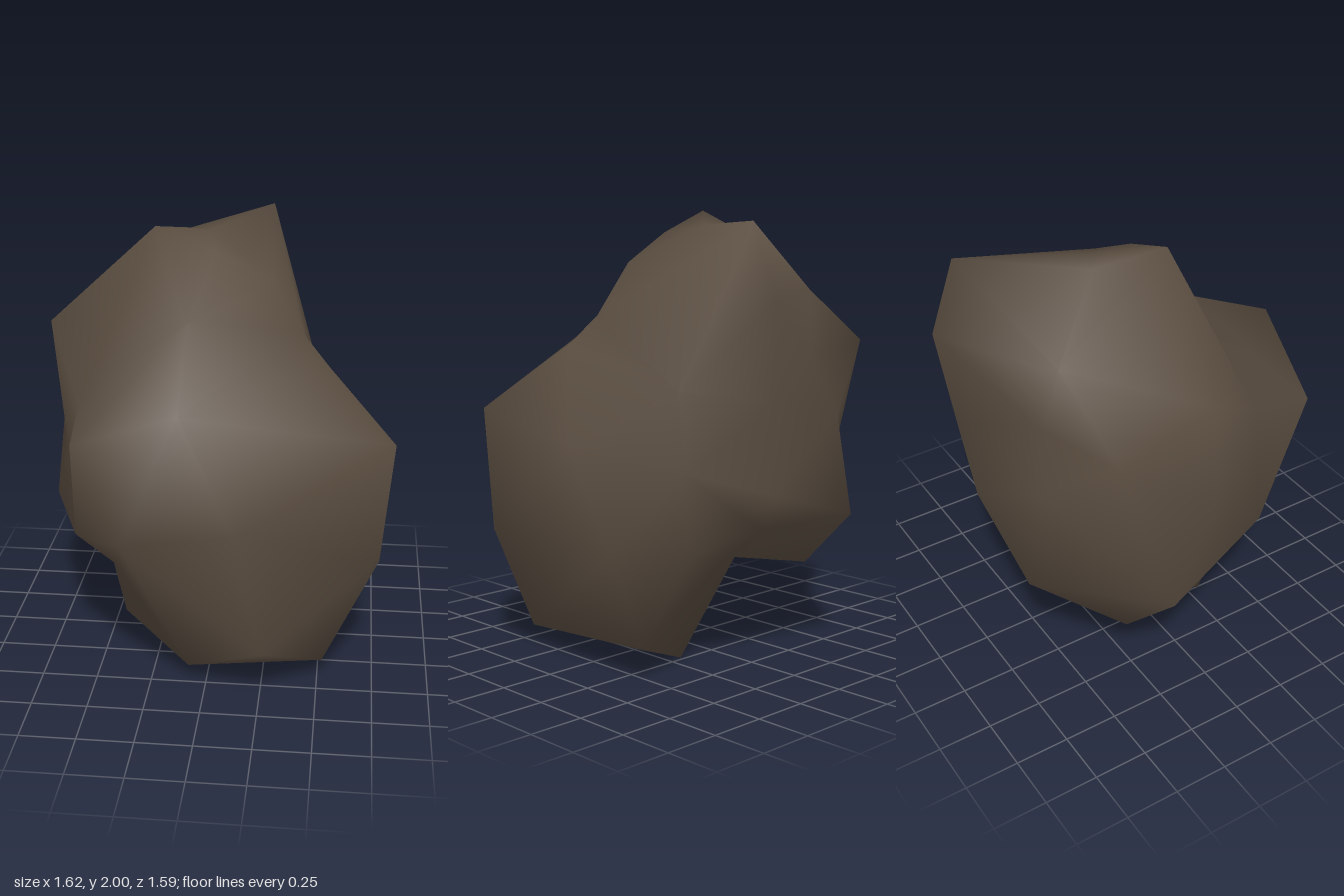
import * as THREE from 'three';
import { ConvexGeometry } from 'three/addons/geometries/ConvexGeometry.js';

// Corners of the boulder, grouped by region: [x, y, z]
const crown = [
  [-0.26, 2.0, 0.07], [-0.04, 1.935, -0.16], [-0.14, 1.93, -0.22], [0, 1.9, 0.06],
  [0.21, 1.95, -0.68], [0.2, 1.63, -0.8], [0.25, 1.77, 0.03], [0.39, 1.54, 0.08],
  [0.51, 1.41, 0.14], [-0.35, 1.65, -0.51], [-0.76, 1.53, -0.03], [-0.76, 1.4, -0.48],
  [-0.1, 1.63, 0.28],
];
const front = [
  [-0.08, 1.39, 0.76], [-0.55, 1.2, 0.65], [-0.33, 0.8, 0.77], [0.15, 0.88, 0.79],
  [0.26, 0.27, 0.69], [-0.6, 0.66, 0.38],
];
const rightHollow = [[-0.57, 1.27, 0.34], [-0.68, 0.95, 0.08], [-0.45, 0.47, 0.27]];
const leftSide = [
  [0.81, 1.14, 0.36], [0.76, 0.59, 0.37], [0.75, 1.02, -0.13], [0.68, 0.57, -0.32],
  [0.43, 1.25, -0.47], [0.405, 0.9, -0.485],
];
const back = [
  [-0.3, 1.35, -0.57], [-0.4, 1.1, -0.64], [0.14, 1.2, -0.75], [0.09, 0.8, -0.7],
  [0.38, 0.55, -0.5], [0.1, 0.64, -0.64],
  [-0.41, 0.65, -0.72], [-0.81, 0.59, -0.23], [-0.57, 0.33, -0.32],
];
const base = [
  [0.52, 0.09, 0.4], [-0.08, 0.08, 0.49], [-0.41, 0.18, 0.19], [0.55, 0.15, -0.37],
  [0.18, 0, -0.23], [-0.34, 0.36, -0.08], [-0.08, 0.43, -0.27],
];

// Joins corners into a closed skin: wrap their directions on a sphere,
// then move each sphere corner out to its real place.
function skin(corners, centre) {
  const points = corners.map((c) => new THREE.Vector3(...c));
  const directions = points.map((p) => p.clone().sub(centre).normalize());
  const wrapped = new ConvexGeometry(directions).getAttribute('position');
  const index = [];
  const v = new THREE.Vector3();
  for (let i = 0; i < wrapped.count; i++) {
    v.fromBufferAttribute(wrapped, i);
    let best = 0;
    directions.forEach((d, k) => {
      if (d.distanceToSquared(v) < directions[best].distanceToSquared(v)) best = k;
    });
    index.push(best);
  }
  const geometry = new THREE.BufferGeometry().setFromPoints(points);
  geometry.setIndex(index);
  geometry.computeVertexNormals();
  return geometry;
}

export function createModel() {
  const stone = new THREE.MeshStandardMaterial({ color: 0x5a4d40 });
  stone.name = 'brown stone';

  const corners = [...crown, ...front, ...rightHollow, ...leftSide, ...back, ...base];
  const boulder = new THREE.Mesh(skin(corners, new THREE.Vector3(0, 1, 0)), stone);
  boulder.name = 'boulder';

  const group = new THREE.Group();
  group.name = 'rock';
  group.add(boulder);
  return group;
}
